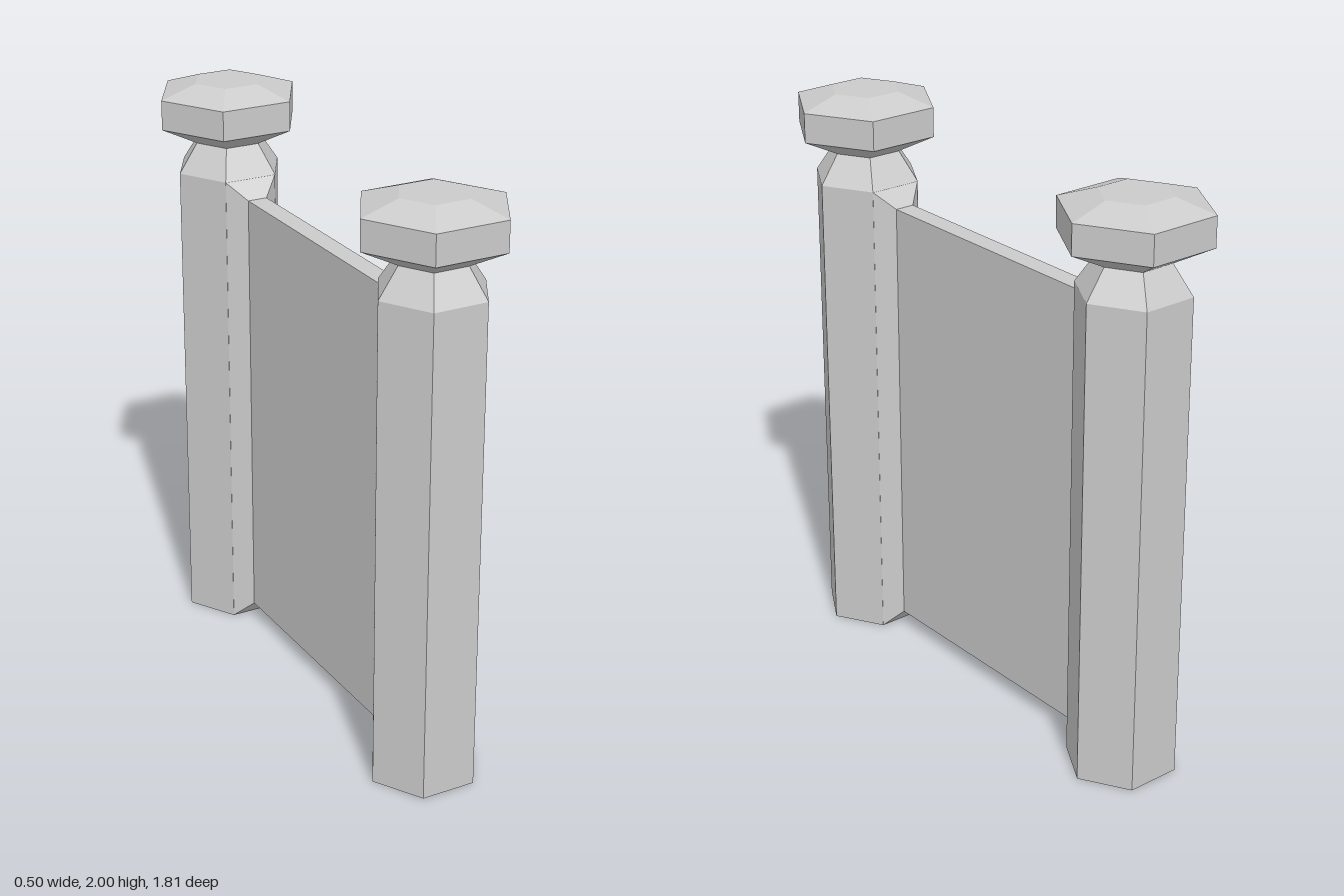
import * as THREE from 'three';

const material = new THREE.MeshStandardMaterial({ color: 0xcccccc, flatShading: true });
const POST_Z = 0.685;

// Six-sided solid from [radius, y] pairs, with corners on the x axis
function hexSolid(name, profile) {
  const points = profile.map(([r, y]) => new THREE.Vector2(r, y));
  const geometry = new THREE.LatheGeometry(points, 6, Math.PI / 6);
  const mesh = new THREE.Mesh(geometry, material);
  mesh.name = name;
  return mesh;
}

// Thin wall whose ends flare out to meet the flat inner face of each post
function makeWall() {
  const endZ = 0.521, innerZ = 0.47;
  const geometry = new THREE.BoxGeometry(0.19, 1.69, 3, 1, 1, 3);
  const pos = geometry.attributes.position;
  for (let i = 0; i < pos.count; i++) {
    const sx = Math.sign(pos.getX(i)), sy = Math.sign(pos.getY(i)), z = pos.getZ(i);
    const atEnd = Math.abs(z) > 1;
    pos.setXYZ(
      i,
      sx * (atEnd ? 0.095 : 0.035),
      0.845 + sy * (atEnd ? 0.845 : 0.785),
      Math.sign(z) * (atEnd ? endZ : innerZ)
    );
  }
  geometry.computeVertexNormals();
  const mesh = new THREE.Mesh(geometry, material);
  mesh.name = 'wall';
  return mesh;
}

export function createModel() {
  const model = new THREE.Group();
  model.name = 'wallSection';

  for (const [side, label] of [[1, 'front'], [-1, 'back']]) {
    const pillar = new THREE.Group();
    pillar.name = label + 'Pillar';
    pillar.position.z = side * POST_Z;
    // Shaft with a tapered neck
    pillar.add(hexSolid('post', [[0, 0], [0.19, 0], [0.19, 1.69], [0.122, 1.79], [0, 1.79]]));
    // Bevelled cap
    pillar.add(hexSolid('cap', [[0, 1.79], [0.122, 1.79], [0.252, 1.855], [0.252, 1.958], [0.122, 2], [0, 2]]));
    model.add(pillar);
  }

  model.add(makeWall());
  return model;
}
